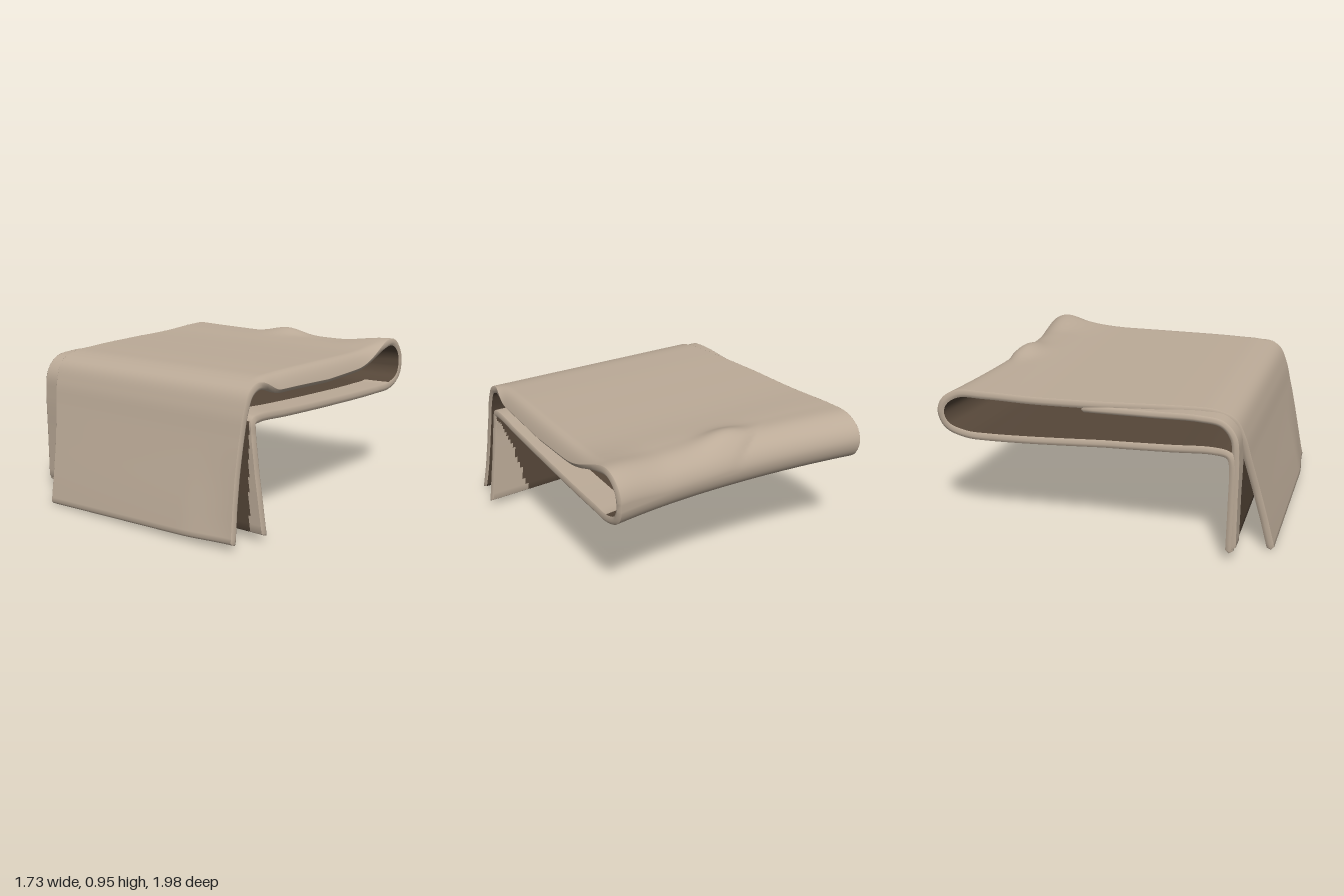
import * as THREE from 'three';

const cloth = new THREE.MeshStandardMaterial({ color: 0xbcab98 });
cloth.name = 'beige cloth';
const lining = new THREE.MeshStandardMaterial({ color: 0x564739 });
lining.name = 'dark brown lining';

const { lerp, smoothstep } = THREE.MathUtils;
const gauss = (d, w) => Math.exp(-((d / w) ** 2));

// Fold path of the cloth: [z, y, left edge x, right edge x]
const mainPath = [
  [0.965, 0.03, -0.565, 0.80], [0.925, 0.2, -0.58, 0.785], [0.875, 0.4, -0.605, 0.775],
  [0.825, 0.6, -0.645, 0.77], [0.79, 0.74, -0.67, 0.77], [0.74, 0.84, -0.685, 0.77],
  [0.64, 0.882, -0.695, 0.77], [0.45, 0.892, -0.72, 0.775], [0, 0.89, -0.785, 0.78],
  [-0.4, 0.888, -0.82, 0.775], [-0.65, 0.898, -0.845, 0.775], [-0.78, 0.893, -0.85, 0.775],
  [-0.855, 0.84, -0.855, 0.775], [-0.88, 0.77, -0.855, 0.775], [-0.85, 0.69, -0.85, 0.775],
  [-0.75, 0.645, -0.845, 0.775], [-0.6, 0.64, -0.84, 0.77], [0, 0.66, -0.79, 0.77],
  [0.4, 0.68, -0.79, 0.77], [0.66, 0.695, -0.79, 0.77], [0.73, 0.68, -0.79, 0.77],
  [0.745, 0.61, -0.79, 0.775], [0.745, 0.4, -0.79, 0.80], [0.74, 0.08, -0.79, 0.845],
];
const FOLD = 13, PANEL = 15, FLAP = 20; // path indices where the sheet changes direction

// Narrow strip beside the front flap
const stripPath = [
  [-0.1, 0.86, -0.79, -0.64], [0.3, 0.87, -0.79, -0.64], [0.58, 0.875, -0.79, -0.64],
  [0.7, 0.855, -0.785, -0.64], [0.765, 0.78, -0.785, -0.64], [0.78, 0.65, -0.785, -0.66],
  [0.78, 0.4, -0.785, -0.68], [0.78, 0.115, -0.785, -0.69],
];

// Hand-laid irregularities: bowed back, lifted corner, rolled edge, wrinkle and uneven hems
function relax(p, i) {
  const [x, y, z] = p.toArray();
  const back = smoothstep(-z, 0.35, 0.9);
  p.z -= back * (x < 0.2 ? 0.09 * ((x - 0.2) / 1.05) ** 2 : 0.045 * ((x - 0.2) / 0.58) ** 2);
  if (i < FOLD) {
    p.y += 0.035 * smoothstep(x, 0.4, 0.75) * gauss(z + 0.8, 0.18);
    const roll = Math.max(0, (x - 0.715) / 0.06) ** 2;
    p.y -= 0.075 * roll * smoothstep(z, -0.75, -0.35) * (1 - smoothstep(z, 0.5, 0.7));
    const across = (z + 0.8) + 0.55 * (x + 0.15);
    p.y += 0.042 * gauss(x + 0.02, 0.15) * gauss(z + 0.76, 0.09) * smoothstep(across, -0.02, 0.02);
  }
  const hem = 1 - smoothstep(i, 0, 3);
  p.y += hem * 0.025 * (x + 0.5);
  p.z -= hem * 0.03 * smoothstep(x, 0.45, 0.8);
  const inner = smoothstep(i, FLAP - 1, FLAP + 1);
  p.z -= inner * 0.03 * x;
  p.y -= smoothstep(i, FLAP + 1, 23) * 0.015 * x;
  return p;
}

// Solid sheet with rounded rims swept along a fold path; isDark picks the colour of each face
function makeSheet(name, path, half, rows, cols, shape, isDark) {
  const n = path.length - 1;
  const curve = new THREE.CatmullRomCurve3(path.map(([z, y]) => new THREE.Vector3(0, y, z)));
  const at = (u, v) => {
    const i = v * n, a = Math.min(Math.floor(i), n - 1), f = i - a;
    const p = curve.getPoint(v);
    p.x = lerp(lerp(path[a][2], path[a + 1][2], f), lerp(path[a][3], path[a + 1][3], f), u);
    return shape(p, i);
  };
  const ring = [];
  for (let k = 0; k <= cols; k++) ring.push([0.5 - 0.5 * Math.cos(Math.PI * k / cols), 1]);
  ring.push([1, 0]);
  for (let k = cols; k >= 0; k--) ring.push([0.5 - 0.5 * Math.cos(Math.PI * k / cols), -1]);
  ring.push([0, 0]);

  const positions = [], info = [], e = 0.002, R = ring.length;
  // Extra first and last rows close the hems
  for (let r = -1; r <= rows + 1; r++) {
    const v = Math.min(Math.max(r / rows, 0), 1);
    const end = r < 0 || r > rows;
    for (const [u, side] of ring) {
      const p = at(u, v);
      const u0 = Math.max(0, u - 0.01), u1 = Math.min(1, u + 0.01);
      const dU = at(u1, v).sub(at(u0, v)).normalize();
      const dV = at(u, Math.min(1, v + e)).sub(at(u, Math.max(0, v - e))).normalize();
      const N = dU.clone().cross(dV).normalize();
      if (side === 0) p.addScaledVector(dU, u ? 0.013 : -0.013);
      if (end) p.addScaledVector(dV, r < 0 ? -0.012 : 0.012);
      p.addScaledVector(N, side * half * (end ? 0.3 : 1));
      positions.push(p.x, p.y, p.z);
      info.push({ x: p.x, side, i: v * n });
    }
  }
  const faces = [[], []];
  for (let r = 0; r < rows + 2; r++) {
    for (let k = 0; k < R; k++) {
      const k2 = (k + 1) % R;
      const a = r * R + k, b = r * R + k2, c = b + R, d = a + R;
      const rim = info[a].side * info[b].side === 0;
      const x = (info[a].x + info[b].x) / 2;
      faces[!rim && isDark(x, info[a].side, info[a].i) ? 1 : 0].push(a, b, c, a, c, d);
    }
  }
  // Close the small gap left at each hem
  const last = (rows + 2) * R;
  for (let k = 0; k < cols; k++) {
    const m = 2 * cols + 2 - k;
    faces[0].push(k, m, k + 1, k + 1, m, m - 1);
    faces[0].push(last + k, last + k + 1, last + m, last + k + 1, last + m - 1, last + m);
  }
  const geo = new THREE.BufferGeometry();
  geo.setAttribute('position', new THREE.Float32BufferAttribute(positions, 3));
  geo.setIndex([...faces[0], ...faces[1]]);
  geo.addGroup(0, faces[0].length, 0);
  geo.addGroup(faces[0].length, faces[1].length, 1);
  geo.computeVertexNormals();
  const mesh = new THREE.Mesh(geo, [cloth, lining]);
  mesh.name = name;
  return mesh;
}

// Lining shows inside the fold, under the lower panel and between the flaps
function mainIsDark(x, side, i) {
  const drop = (i - FLAP) / 3;
  if (side > 0) {
    if (i < PANEL) return false;
    if (i < FLAP) return true;
    return x < 0.82 - 0.25 * drop && x > -0.7 - 0.05 * drop;
  }
  if (i < PANEL) return true;
  if (i < FLAP) return x < 0.6;
  return x > -0.69 && x < 0.76;
}

export function createModel() {
  const model = new THREE.Group();
  model.name = 'foldedCloth';
  model.add(makeSheet('foldedSheet', mainPath, 0.023, 170, 72, relax, mainIsDark));
  model.add(makeSheet('sideStrip', stripPath, 0.02, 50, 12, (p) => p, () => false));
  return model;
}
